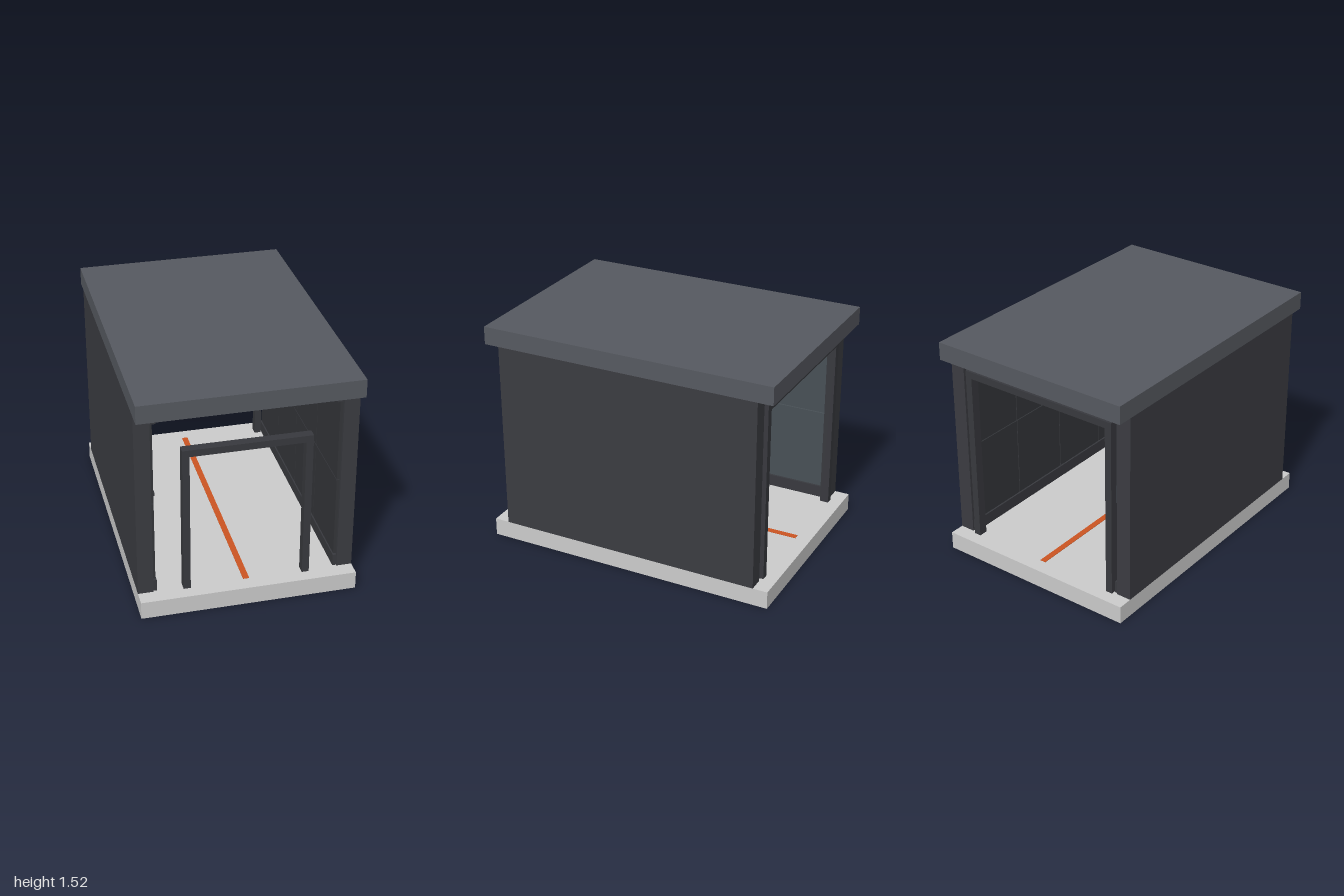
import * as THREE from 'three';

const mat = (color) => new THREE.MeshStandardMaterial({ color });

export function createModel() {
  const root = new THREE.Group();
  const grey = mat(0xcccccc), roofMat = mat(0x565960), wallMat = mat(0x3b3c41);
  const frameMat = mat(0x38393e), panelMat = mat(0x34363a), accentMat = mat(0x485056);
  const black = mat(0x0c0c0e), orange = mat(0xcc5522);

  // Box given by its min and max on each axis
  function box(name, x, y, z, material, parent = root) {
    const g = new THREE.BoxGeometry(x[1] - x[0], y[1] - y[0], z[1] - z[0]);
    const m = new THREE.Mesh(g, material);
    m.position.set((x[0] + x[1]) / 2, (y[0] + y[1]) / 2, (z[0] + z[1]) / 2);
    m.name = name;
    parent.add(m);
    return m;
  }
  // Box on a side wall: x is the distance from the middle, s is the side
  const sideBox = (name, s, x0, x1, y, z, material, parent) =>
    box(name, s > 0 ? [x0, x1] : [-x1, -x0], y, z, material, parent);

  // Slab, roof and floor stripe
  box('floorSlab', [-0.7, 0.7], [0, 0.12], [-1, 1], grey);
  box('roof', [-0.7, 0.7], [1.4, 1.52], [-1, 1], roofMat);
  box('floorStripe', [-0.02, 0.02], [0.118, 0.123], [-0.9, 0.9], orange);

  // Side walls with skirting, cornice rail and tiled panels
  const rows = [[0.205, 0.758], [0.764, 1.32], [1.382, 1.4]];
  const seams = [-0.88, -0.44, 0, 0.44, 0.88];
  for (const s of [-1, 1]) {
    const side = new THREE.Group();
    side.name = s > 0 ? 'leftWall' : 'rightWall';
    root.add(side);
    sideBox('wall', s, 0.6, 0.7, [0.12, 1.4], [-0.9, 0.9], wallMat, side);
    sideBox('skirting', s, 0.576, 0.6, [0.12, 0.2], [-0.89, 0.89], frameMat, side);
    sideBox('corniceRail', s, 0.56, 0.6, [1.325, 1.375], [-0.89, 0.89], frameMat, side);
    for (const row of rows)
      for (let i = 0; i < 4; i++)
        sideBox('wallPanel', s, 0.582, 0.6, row, [seams[i] + 0.003, seams[i + 1] - 0.003],
          s < 0 && i === 0 ? accentMat : panelMat, side);
  }

  // Door frames: two posts and a lintel
  function doorFrame(name, half, top, z) {
    const g = new THREE.Group(), w = 0.046;
    g.name = name;
    root.add(g);
    for (const s of [-1, 1]) sideBox('post', s, half - w, half, [0.12, top], z, frameMat, g);
    box('lintel', [-half + w, half - w], [top - w, top], z, frameMat, g);
  }
  doorFrame('frontDoorFrame', 0.41, 1.13, [0.855, 0.915]);
  doorFrame('backDoorFrame', 0.57, 1.33, [-0.915, -0.855]);

  // Window with a dark pane and sill on the right wall
  const win = new THREE.Group();
  win.name = 'window';
  root.add(win);
  const z0 = -0.29, z1 = 0.55, b = 0.035;
  const fx = [-0.582, -0.54];
  box('windowPane', [-0.582, -0.566], [0.62, 0.99], [z0 + 0.01, z1 - 0.01], black, win);
  for (const y of [[0.6, 0.6 + b], [1.01 - b, 1.01]]) box('windowRail', fx, y, [z0, z1], frameMat, win);
  for (const z of [[z0, z0 + b], [z1 - b, z1]]) box('windowStile', fx, [0.6 + b, 1.01 - b], z, frameMat, win);
  box('windowSill', [-0.54, -0.512], [0.6, 0.62], [z0, z1], frameMat, win);

  // Small plate on the left wall
  box('wallPlate', [0.576, 0.583], [1.0, 1.2], [-0.51, -0.32], grey);

  // Hanging ceiling light
  const lamp = new THREE.Group();
  lamp.name = 'ceilingLight';
  root.add(lamp);
  box('lampHousing', [-0.023, 0.023], [1.335, 1.36], [-0.72, 0.72], frameMat, lamp);
  box('lampDiffuser', [-0.016, 0.016], [1.331, 1.336], [-0.71, 0.71], grey, lamp);
  for (const z of [-0.5, 0.5]) {
    const rod = new THREE.Mesh(new THREE.CylinderGeometry(0.003, 0.003, 0.042, 8), frameMat);
    rod.position.set(0, 1.38, z);
    rod.name = 'lampRod';
    lamp.add(rod);
  }
  return root;
}
